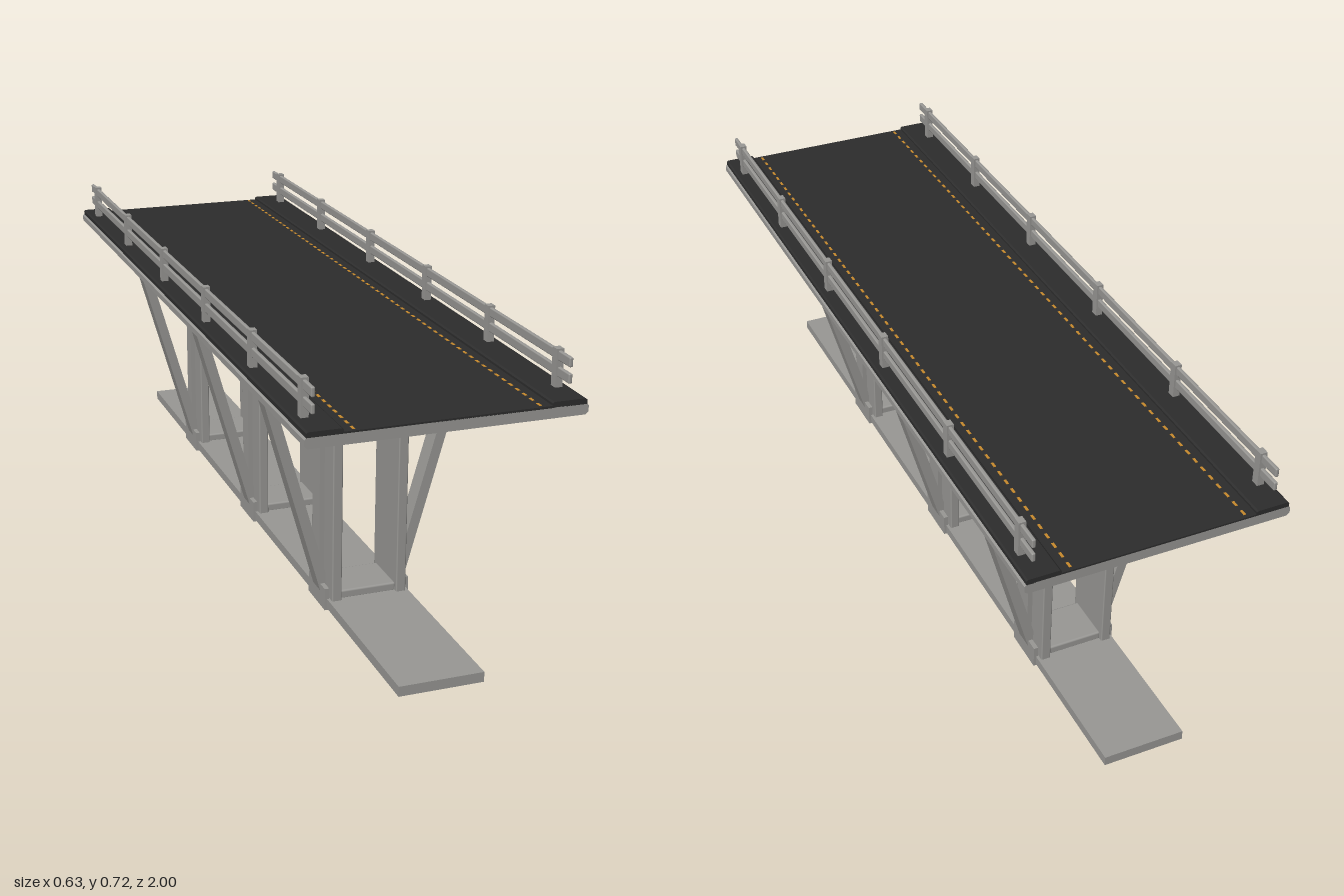
import * as THREE from 'three';
import { RoundedBoxGeometry } from 'three/addons/geometries/RoundedBoxGeometry.js';

export function createModel() {
  const concrete = new THREE.MeshStandardMaterial({ color: 0x999895 });
  concrete.name = 'concrete';
  const asphalt = new THREE.MeshStandardMaterial({ color: 0x2d2d2d });
  asphalt.name = 'asphalt';
  const paint = new THREE.MeshStandardMaterial({ color: 0xc88a2c });
  paint.name = 'orangePaint';

  const bridge = new THREE.Group();
  bridge.name = 'bridge';

  const add = (parent, name, geometry, material) => {
    const mesh = new THREE.Mesh(geometry, material);
    mesh.name = name;
    parent.add(mesh);
    return mesh;
  };
  // Box given by its extents; a radius rounds its edges
  const box = (parent, name, material, x0, x1, y0, y1, z0, z1, radius = 0) => {
    const size = [Math.abs(x1 - x0), y1 - y0, z1 - z0];
    const geometry = radius
      ? new RoundedBoxGeometry(...size, 2, radius)
      : new THREE.BoxGeometry(...size);
    const mesh = add(parent, name, geometry, material);
    mesh.position.set((x0 + x1) / 2, (y0 + y1) / 2, (z0 + z1) / 2);
    return mesh;
  };
  // Outline in x and y, extruded along z and centred on z = 0
  const prism = (parent, name, material, points, depth) => {
    const shape = new THREE.Shape(points.map(([x, y]) => new THREE.Vector2(x, y)));
    const geometry = new THREE.ExtrudeGeometry(shape, { depth, bevelEnabled: false });
    geometry.translate(0, 0, -depth / 2);
    return add(parent, name, geometry, material);
  };

  // Foundation strip
  box(bridge, 'foundation', concrete, -0.1, 0.1, 0.004, 0.028, -1, 1);

  // Deck slab with chamfered sides, and the road on it
  prism(bridge, 'deck', concrete, [
    [-0.308, 0.596], [0.308, 0.596], [0.315, 0.602], [0.315, 0.616],
    [0.311, 0.62], [-0.311, 0.62], [-0.315, 0.616], [-0.315, 0.602],
  ], 2);
  box(bridge, 'road', asphalt, -0.235, 0.235, 0.619, 0.624, -1, 1);

  // Curbs, edge markings and guard rails on both sides
  const postZ = [0.91, 0.575, 0.215, -0.165, -0.55, -0.915];
  for (const s of [-1, 1]) {
    prism(bridge, 'curb', asphalt, [
      [s * 0.231, 0.619], [s * 0.311, 0.619], [s * 0.311, 0.629],
      [s * 0.307, 0.632], [s * 0.235, 0.632], [s * 0.231, 0.629],
    ], 2);
    const marking = new THREE.Group();
    marking.name = 'edgeMarking';
    bridge.add(marking);
    for (let i = 0; i < 60; i++) {
      const z = -0.983 + i / 30;
      box(marking, 'dash', paint, s * 0.204, s * 0.21, 0.6235, 0.625, z - 0.008, z + 0.008);
    }
    const railing = new THREE.Group();
    railing.name = 'guardRail';
    bridge.add(railing);
    for (const z of postZ) {
      box(railing, 'post', concrete, s * 0.277, s * 0.294, 0.63, 0.718, z - 0.01, z + 0.01);
    }
    for (const y of [0.667, 0.703]) {
      box(railing, 'rail', concrete, s * 0.281, s * 0.29, y - 0.011, y + 0.011, -0.98, 0.97, 0.003);
    }
  }

  // Three piers, each with two ribbed columns and slanting braces
  for (const z of [0.504, -0.043, -0.587]) {
    const pier = new THREE.Group();
    pier.name = 'pier';
    pier.position.z = z;
    bridge.add(pier);
    box(pier, 'tieBeam', concrete, -0.072, 0.072, 0.024, 0.047, -0.06, 0.06, 0.005);
    for (const s of [-1, 1]) {
      box(pier, 'column', concrete, s * 0.069, s * 0.093, 0.02, 0.6, -0.072, 0.072, 0.003);
      box(pier, 'columnRib', concrete, s * 0.092, s * 0.105, 0.02, 0.598, -0.014, 0.014);
      box(pier, 'footBracket', concrete, s * 0.095, s * 0.106, 0, 0.055, -0.056, 0.056);
      box(pier, 'capPlate', concrete, s * 0.1, s * 0.245, 0.59, 0.598, -0.014, 0.014);
      prism(pier, 'brace', concrete, [
        [s * 0.093, 0.03], [s * 0.104, 0.03], [s * 0.265, 0.598],
        [s * 0.239, 0.598], [s * 0.093, 0.082],
      ], 0.048);
    }
  }
  return bridge;
}
